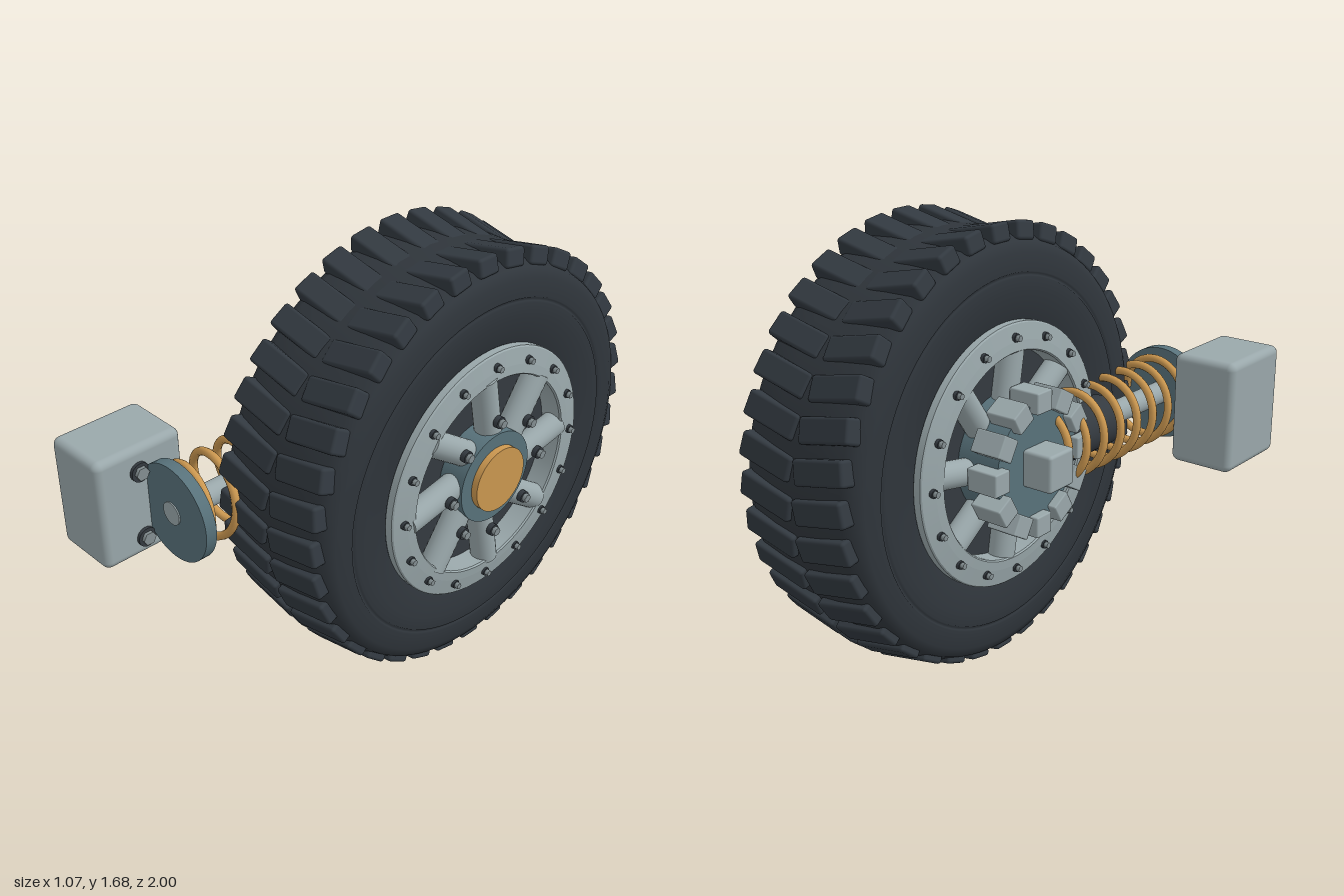
import * as THREE from 'three';
import { RoundedBoxGeometry } from 'three/addons/geometries/RoundedBoxGeometry.js';

const mat = (name, color) => {
  const m = new THREE.MeshStandardMaterial({ color });
  m.name = name;
  return m;
};

export function createModel() {
  const rubber = mat('rubber', 0x2f353b);
  const tread = mat('tread rubber', 0x323940);
  const dark = mat('dark metal', 0x343a40);
  const steel = mat('light steel', 0x9aa8ab);
  const boltSteel = mat('bolt steel', 0x848f92);
  const slate = mat('slate metal', 0x58727b);
  const gold = mat('golden metal', 0xcc9850);

  const model = new THREE.Group();
  const wheel = new THREE.Group();
  wheel.name = 'wheel';
  wheel.position.set(0.18, 0.85, -0.18);
  model.add(wheel);

  const add = (parent, name, geometry, material, x = 0, y = 0, z = 0) => {
    const mesh = new THREE.Mesh(geometry, material);
    mesh.name = name;
    mesh.position.set(x, y, z);
    parent.add(mesh);
    return mesh;
  };
  // Cylinder along x or z, spanning a..b
  const cylX = (r, a, b, sides = 48) =>
    new THREE.CylinderGeometry(r, r, b - a, sides).rotateZ(-Math.PI / 2).translate((a + b) / 2, 0, 0);
  const cylZ = (r, a, b, sides = 40) =>
    new THREE.CylinderGeometry(r, r, b - a, sides).rotateX(Math.PI / 2).translate(0, 0, (a + b) / 2);
  // Lathe around the wheel axle from [radius, x] pairs
  const latheX = (pts, sides = 72) =>
    new THREE.LatheGeometry(pts.map(p => new THREE.Vector2(p[0], p[1])), sides).rotateZ(-Math.PI / 2);
  // Repeats a part around the axle; each copy gets its own pivot group
  const around = (count, name, build) => {
    for (let i = 0; i < count; i++) {
      const g = new THREE.Group();
      g.name = name;
      g.rotation.x = (i / count) * Math.PI * 2;
      wheel.add(g);
      build(g);
    }
  };

  // Tyre body with a moulded groove in each sidewall
  const half = [[0.46, -0.23], [0.5, -0.262], [0.6, -0.272], [0.648, -0.274], [0.653, -0.266],
    [0.662, -0.266], [0.667, -0.273], [0.735, -0.267], [0.77, -0.25], [0.79, -0.21], [0.8, -0.1]];
  const mirrored = half.map(([r, x]) => [r, -x]).reverse();
  add(wheel, 'tyre', latheX([...half, ...mirrored], 96), rubber);

  // Chevron tread lugs
  const lugGeo = new RoundedBoxGeometry(0.237, 0.07, 0.092, 2, 0.012);
  for (let i = 0; i < 36; i++) {
    const a = (i / 36) * Math.PI * 2;
    for (const s of [-1, 1]) {
      const lug = add(wheel, 'treadLug', lugGeo, tread,
        s * 0.127, Math.cos(a) * 0.785, Math.sin(a) * 0.785);
      lug.rotation.set(a, 0, s * 0.21, 'ZYX');
    }
  }

  // Rim core and the clamp ring on both faces
  add(wheel, 'rimCore', cylX(0.47, -0.22, 0.215, 64), dark);
  const ringProfile = [[0.39, 0.2], [0.495, 0.2], [0.495, 0.286], [0.49, 0.291],
    [0.43, 0.302], [0.395, 0.306], [0.39, 0.3], [0.39, 0.2]];
  // Separate bands keep the ring edges crisp
  const band = pts => {
    for (let i = 0; i < pts.length - 1; i++) {
      const geo = latheX([pts[i], pts[i + 1]]);
      add(wheel, 'outerClampRing', geo, steel);
      add(wheel, 'innerClampRing', geo, steel).rotation.y = Math.PI;
    }
  };
  band(ringProfile);

  const bolt = (parent, r, x, y, s = 1) => {
    add(parent, 'boltWasher', cylX(r * 1.35, -0.01, 0.01, 16), dark, x, y);
    add(parent, 'boltHead', cylX(r, -0.015, 0.015, 6), boltSteel, x + s * 0.01, y);
  };
  around(16, 'ringBolt', g => {
    bolt(g, 0.012, 0.3, 0.445);
    bolt(g, 0.012, -0.3, 0.445, -1);
  });

  // Swept spokes on both faces
  const spokeGeo = new THREE.CylinderGeometry(0.05, 0.05, 0.27, 24);
  around(8, 'spoke', g => {
    for (const x of [0.265, -0.255]) {
      const pivot = new THREE.Group();
      pivot.position.set(x, 0.235, 0);
      pivot.rotation.x = 0.18;
      g.add(pivot);
      add(pivot, 'spokeTube', spokeGeo, steel, 0, 0.035);
    }
    bolt(g, 0.017, 0.325, 0.235);
  });

  // Hub and cap
  add(wheel, 'hub', cylX(0.18, 0, 0.322), slate);
  add(wheel, 'hubCap', cylX(0.127, 0.3, 0.348), gold);

  // Drive drum with blocks around it on the inner side
  add(wheel, 'driveDrum', cylX(0.225, -0.4, -0.2), slate);
  const toothGeo = new RoundedBoxGeometry(0.13, 0.08, 0.085, 1, 0.006);
  around(12, 'drumBlock', g => add(g, 'block', toothGeo, steel, -0.37, 0.235));

  // Suspension strut running forward from the drum
  const strut = new THREE.Group();
  strut.name = 'strut';
  strut.position.set(-0.13, 0.85, 0);
  model.add(strut);
  add(strut, 'strutRod', cylZ(0.045, -0.1, 0.8), steel);
  add(strut, 'damperBody', cylZ(0.1, 0.02, 0.33), dark);
  add(strut, 'strutPlate', cylZ(0.19, 0.75, 0.795, 64), slate);
  add(strut, 'rearMount', new RoundedBoxGeometry(0.13, 0.14, 0.14, 2, 0.012), steel, -0.145, 0, -0.19);

  // Coil spring
  const coil = [];
  const turns = 7.5;
  for (let i = 0; i <= turns * 16; i++) {
    const a = (i / 16) * Math.PI * 2;
    coil.push(new THREE.Vector3(-Math.cos(a) * 0.153, Math.sin(a) * 0.153, -0.075 + (i / 16) * 0.109));
  }
  add(strut, 'coilSpring',
    new THREE.TubeGeometry(new THREE.CatmullRomCurve3(coil), 300, 0.016, 10), gold);

  // Chassis mounting box with its side bolts
  add(model, 'mountBox', new RoundedBoxGeometry(0.27, 0.45, 0.365, 4, 0.03), steel, -0.4, 0.845, 0.8175);
  for (const y of [0.695, 0.975]) {
    add(model, 'mountWasher', cylX(0.038, -0.27, -0.252, 24), dark, 0, y, 0.825);
    add(model, 'mountBolt', cylX(0.027, -0.26, -0.238, 6), boltSteel, 0, y, 0.825);
  }
  return model;
}
